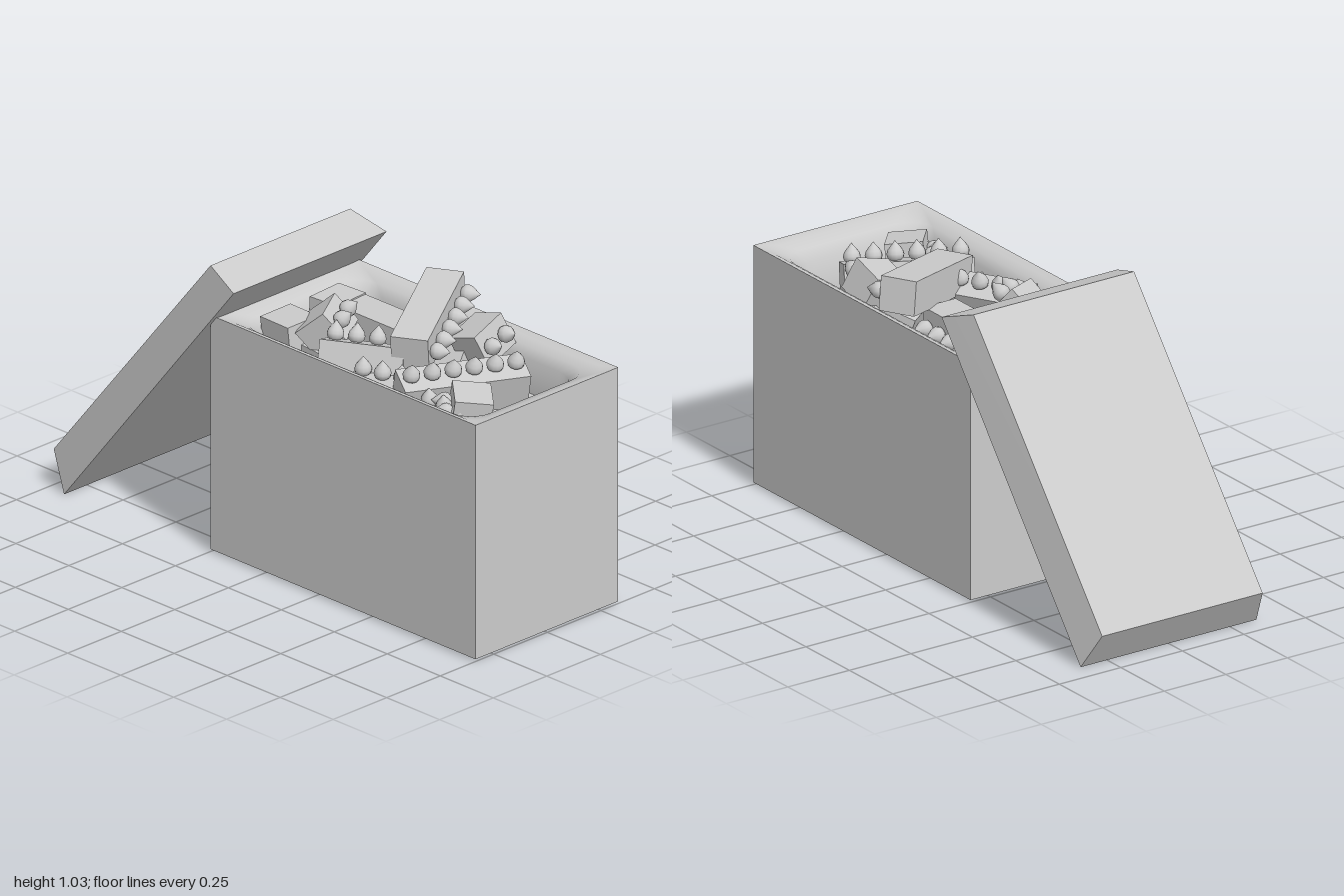
import * as THREE from 'three';
import { toCreasedNormals } from 'three/addons/utils/BufferGeometryUtils.js';

const grey = new THREE.MeshStandardMaterial({ color: 0xcccccc, side: THREE.DoubleSide });

function add(parent, name, geometry) {
  const mesh = new THREE.Mesh(geometry, grey);
  mesh.name = name;
  parent.add(mesh);
  return mesh;
}

// Horizontal rounded rectangle of points at height y
function ring(hx, hz, r, y, steps = 5) {
  const pts = [];
  [[1, 1], [-1, 1], [-1, -1], [1, -1]].forEach(([sx, sz], q) => {
    for (let i = 0; i <= steps; i++) {
      const a = (q + i / steps) * Math.PI / 2;
      pts.push([sx * (hx - r) + r * Math.cos(a), y, sz * (hz - r) + r * Math.sin(a)]);
    }
  });
  return pts;
}

// Skin between successive rings
function loft(rings, crease) {
  const n = rings[0].length, index = [];
  for (let k = 0; k < rings.length - 1; k++) {
    for (let i = 0; i < n; i++) {
      const a = k * n + i, b = k * n + (i + 1) % n;
      index.push(a, a + n, b, b, a + n, b + n);
    }
  }
  const g = new THREE.BufferGeometry();
  g.setAttribute('position', new THREE.Float32BufferAttribute(rings.flat(2), 3));
  g.setIndex(index);
  return toCreasedNormals(g, crease);
}

// Slab whose outer face is narrower, given by its side outline
function lidGeometry(outline, wide, narrow) {
  const [low, high, outHigh, outLow] = outline;
  const corners = (a, b, h) => [...a, h, ...b, h, ...b, -h, ...a, -h];
  const g = new THREE.BufferGeometry();
  const pos = [...corners(low, high, wide), ...corners(outLow, outHigh, narrow)];
  g.setAttribute('position', new THREE.Float32BufferAttribute(pos, 3));
  const index = [0, 2, 1, 0, 3, 2, 4, 5, 6, 4, 6, 7];
  for (let i = 0; i < 4; i++) {
    const j = (i + 1) % 4;
    index.push(i, j, j + 4, i, j + 4, i + 4);
  }
  g.setIndex(index);
  return toCreasedNormals(g, 0.1);
}

// Pointed, onion-like stud standing on y = 0
const studShape = new THREE.LatheGeometry(
  [[0.018, 0], [0.027, 0.008], [0.03, 0.02], [0.026, 0.034], [0.016, 0.047], [0.007, 0.057], [0, 0.066]]
    .map(([x, y]) => new THREE.Vector2(x, y)), 12);

// Block with a row of studs: yaw turns it, pitch lifts one end, roll tips the studs sideways
function studdedBlock(position, studs, yaw, pitch, roll) {
  const block = new THREE.Group();
  block.name = 'studdedBlock';
  const spacing = 0.073, height = 0.13;
  add(block, 'blockBody', new THREE.BoxGeometry(studs * spacing, height, 0.12));
  for (let i = 0; i < studs; i++) {
    add(block, 'stud', studShape).position.set((i + 0.5 - studs / 2) * spacing, height / 2, 0);
  }
  block.rotation.set(roll, -yaw, pitch, 'YZX');
  block.position.set(...position);
  return block;
}

export function createModel() {
  const model = new THREE.Group();
  model.name = 'boxOfBlocks';

  // Container: flat outer walls and bottom, soft sloping rim and inner walls
  const container = new THREE.Group();
  container.name = 'container';
  container.position.set(0.375, 0, 0.002);
  model.add(container);
  add(container, 'outerWalls', loft([
    ring(0, 0, 0, 0.008),
    ring(0.625, 0.333, 0, 0.008),
    ring(0.625, 0.333, 0, 0.86),
  ], 0.5));
  add(container, 'innerWalls', loft([
    ring(0.625, 0.333, 0, 0.86),
    ring(0.595, 0.308, 0.05, 0.852),
    ring(0.55, 0.28, 0.09, 0.835),
    ring(0.52, 0.262, 0.1, 0.8),
    ring(0.51, 0.258, 0.1, 0.68),
    ring(0, 0, 0, 0.68),
  ], 0.9));

  // Lid leaning against the end of the container
  add(model, 'lid', lidGeometry([[-0.92, 0], [-0.12, 0.987], [-0.26, 1.035], [-1, 0.13]], 0.357, 0.326));

  // Loose pile of studded blocks
  const pile = new THREE.Group();
  pile.name = 'blockPile';
  model.add(pile);
  const place = (x, y, z, ...pose) => pile.add(studdedBlock([x, y, z], ...pose));

  // Long blocks on top: one on its side, one with its studs up
  place(0.335, 0.895, -0.1, 6, -2.08, 0.15, 1.57);
  place(0.625, 0.78, 0.03, 6, 2.04, 0, -0.3);

  // Blocks along the front and back
  place(0.27, 0.79, 0.13, 4, -0.51, 0, -0.35);
  place(0.51, 0.85, -0.18, 2, 1.47, -0.3, -1.25);
  place(0.11, 0.79, -0.1, 4, 0, 0, -1.57);
  place(0.06, 0.845, 0.1, 2, 1.06, -0.1, -0.85);
  place(0.78, 0.79, 0.14, 2, 0.71, -0.1, 1.45);

  // Blocks near the lid
  place(-0.08, 0.79, -0.09, 2, 1.5, 0, 3.14);
  place(-0.06, 0.8, 0.15, 2, 0.1, 0.05, -1.5);

  // Lower layer
  place(0.68, 0.71, 0.19, 4, 0.05, 0, 0.1);
  place(0.43, 0.72, 0.16, 4, -0.3, 0, 0);
  place(0.45, 0.75, -0.1, 4, 0.93, 0, -1.25);
  place(0.1, 0.72, 0.12, 4, 0.1, 0, 0);

  return model;
}
